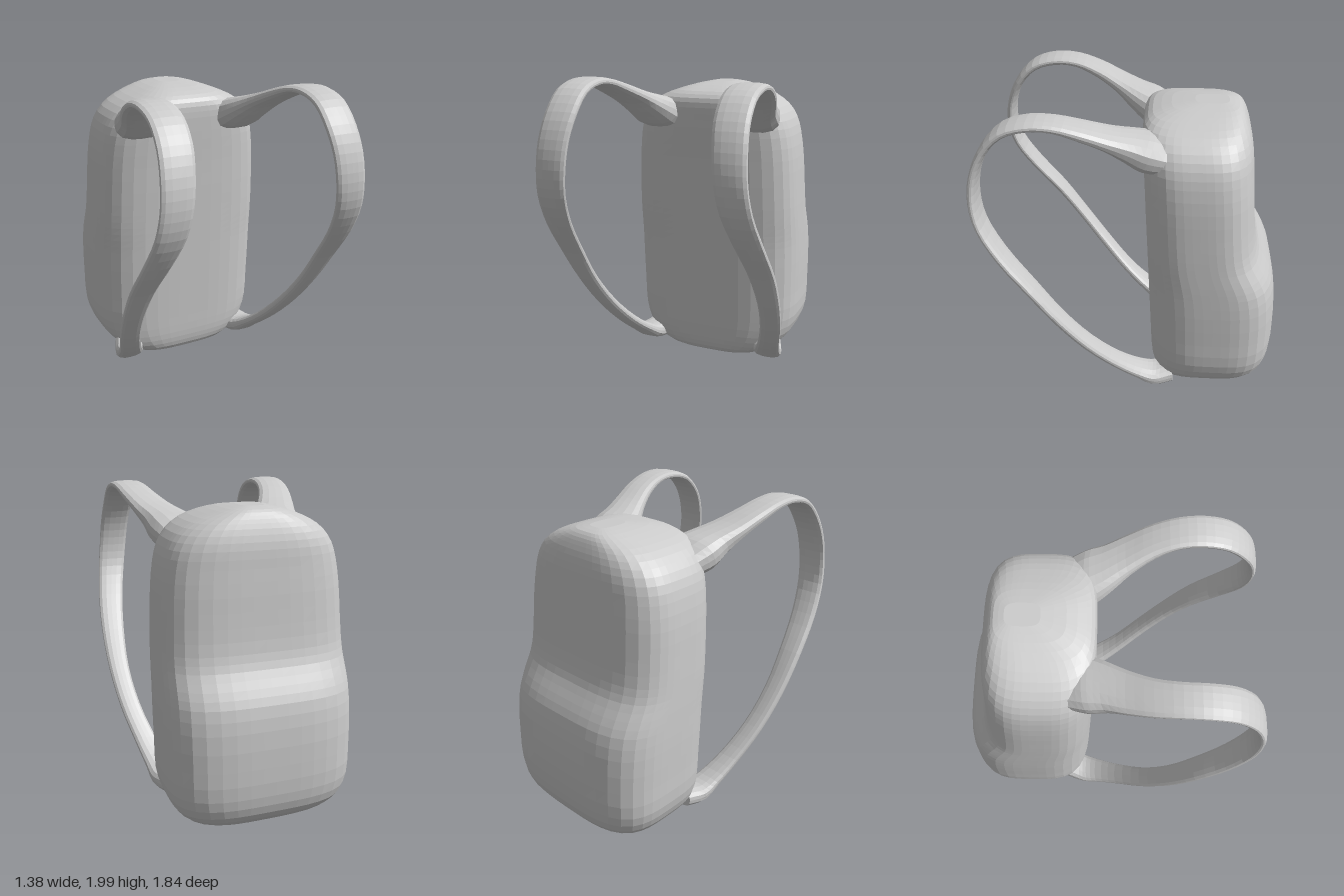
import * as THREE from 'three';

const material = new THREE.MeshStandardMaterial({ color: 0xcccccc, flatShading: true });

// Point on a rounded-rectangle section of half size 1
function rounded(angle, power) {
  const c = Math.cos(angle), s = Math.sin(angle);
  const k = Math.pow(Math.abs(c) ** power + Math.abs(s) ** power, -1 / power);
  return [c * k, s * k];
}

// Skin a stack of closed rings, closing both ends at the ring centres
function loft(rings) {
  const n = rings[0].length;
  const collapse = (ring) => {
    const centre = new THREE.Vector3();
    ring.forEach((p) => centre.addScaledVector(p, 1 / n));
    return ring.map(() => centre.clone());
  };
  const all = [collapse(rings[0]), ...rings, collapse(rings[rings.length - 1])];
  const index = [];
  for (let i = 0; i < all.length - 1; i++) {
    for (let j = 0; j < n; j++) {
      const k = (j + 1) % n;
      const a = i * n + j, b = i * n + k, c = a + n, d = b + n;
      if (i > 0) index.push(a, c, b);
      else index.push(a, c, d);
      if (i > 0 && i < all.length - 2) index.push(b, c, d);
    }
  }
  const geometry = new THREE.BufferGeometry().setFromPoints(all.flat());
  geometry.setIndex(index);
  geometry.computeVertexNormals();
  return geometry;
}

const spline = (points) => new THREE.CatmullRomCurve3(points.map((p) => new THREE.Vector3(...p)));

// Bag: horizontal sections [y, half width, front z, back z]
function bagGeometry() {
  const sections = [
    [0.008, 0.1, -0.33, -0.47], [0.025, 0.25, -0.21, -0.6], [0.06, 0.37, -0.14, -0.72],
    [0.12, 0.47, -0.115, -0.82], [0.2, 0.535, -0.105, -0.885], [0.32, 0.57, -0.1, -0.912],
    [0.5, 0.575, -0.092, -0.915], [0.72, 0.577, -0.082, -0.903], [0.86, 0.575, -0.076, -0.875],
    [0.95, 0.573, -0.072, -0.83], [1.04, 0.57, -0.068, -0.778], [1.13, 0.567, -0.064, -0.75],
    [1.28, 0.56, -0.057, -0.73], [1.45, 0.55, -0.05, -0.715], [1.6, 0.53, -0.042, -0.7],
    [1.7, 0.5, -0.037, -0.69], [1.78, 0.445, -0.035, -0.672], [1.84, 0.36, -0.045, -0.65],
    [1.88, 0.26, -0.09, -0.63], [1.91, 0.16, -0.2, -0.6], [1.926, 0.07, -0.34, -0.54],
  ];
  const widths = spline(sections.map(([y, w]) => [w, y, 0]));
  const depths = spline(sections.map(([y, , front, back]) => [front, y, back]));
  const rings = [], steps = (sections.length - 1) * 2, around = 48;
  for (let i = 0; i <= steps; i++) {
    const w = widths.getPoint(i / steps), d = depths.getPoint(i / steps);
    const ring = [];
    for (let j = 0; j < around; j++) {
      const [u, v] = rounded((j / around) * Math.PI * 2, 3.5);
      ring.push(new THREE.Vector3(u * w.x, w.y, (d.x + d.z) / 2 + (v * (d.x - d.z)) / 2));
    }
    rings.push(ring);
  }
  return loft(rings);
}

// Shoulder strap: flat band swept along [x, y, z, half width, half thickness]
function strapGeometry(side) {
  const path = [
    [0.3, 1.7, -0.2, 0.16, 0.08], [0.33, 1.74, -0.08, 0.165, 0.1], [0.36, 1.79, 0.02, 0.145, 0.078],
    [0.415, 1.855, 0.14, 0.125, 0.048], [0.465, 1.92, 0.28, 0.108, 0.036], [0.49, 1.966, 0.42, 0.1, 0.027],
    [0.498, 1.972, 0.56, 0.1, 0.026], [0.5, 1.93, 0.7, 0.1, 0.026], [0.505, 1.82, 0.81, 0.1, 0.026],
    [0.52, 1.68, 0.875, 0.097, 0.025], [0.535, 1.52, 0.897, 0.094, 0.025], [0.557, 1.36, 0.87, 0.091, 0.025],
    [0.59, 1.17, 0.765, 0.085, 0.027], [0.615, 0.95, 0.6, 0.077, 0.028], [0.614, 0.72, 0.44, 0.068, 0.029],
    [0.58, 0.5, 0.275, 0.067, 0.03], [0.52, 0.31, 0.105, 0.072, 0.031], [0.47, 0.19, -0.04, 0.085, 0.036],
    [0.44, 0.135, -0.14, 0.1, 0.055], [0.4, 0.14, -0.26, 0.1, 0.06],
  ];
  const centre = spline(path.map(([x, y, z]) => [x * side, y, z]));
  const sizes = spline(path.map(([, , , w, t], i) => [w, t, i * 0.1]));
  const rings = [], steps = (path.length - 1) * 3, around = 16;
  for (let i = 0; i <= steps; i++) {
    const p = centre.getPoint(i / steps), size = sizes.getPoint(i / steps);
    const tangent = centre.getTangent(i / steps).setX(0).normalize();
    const ring = [];
    for (let j = 0; j < around; j++) {
      const [u, v] = rounded((j / around) * Math.PI * 2, 2.8);
      const out = v * size.y;
      ring.push(new THREE.Vector3(p.x + u * size.x, p.y - tangent.z * out, p.z + tangent.y * out));
    }
    rings.push(ring);
  }
  return loft(rings);
}

export function createModel() {
  const model = new THREE.Group();
  model.name = 'backpack';
  const add = (name, geometry) => {
    const mesh = new THREE.Mesh(geometry, material);
    mesh.name = name;
    model.add(mesh);
  };
  add('bag', bagGeometry());
  add('leftStrap', strapGeometry(1));
  add('rightStrap', strapGeometry(-1));
  return model;
}
